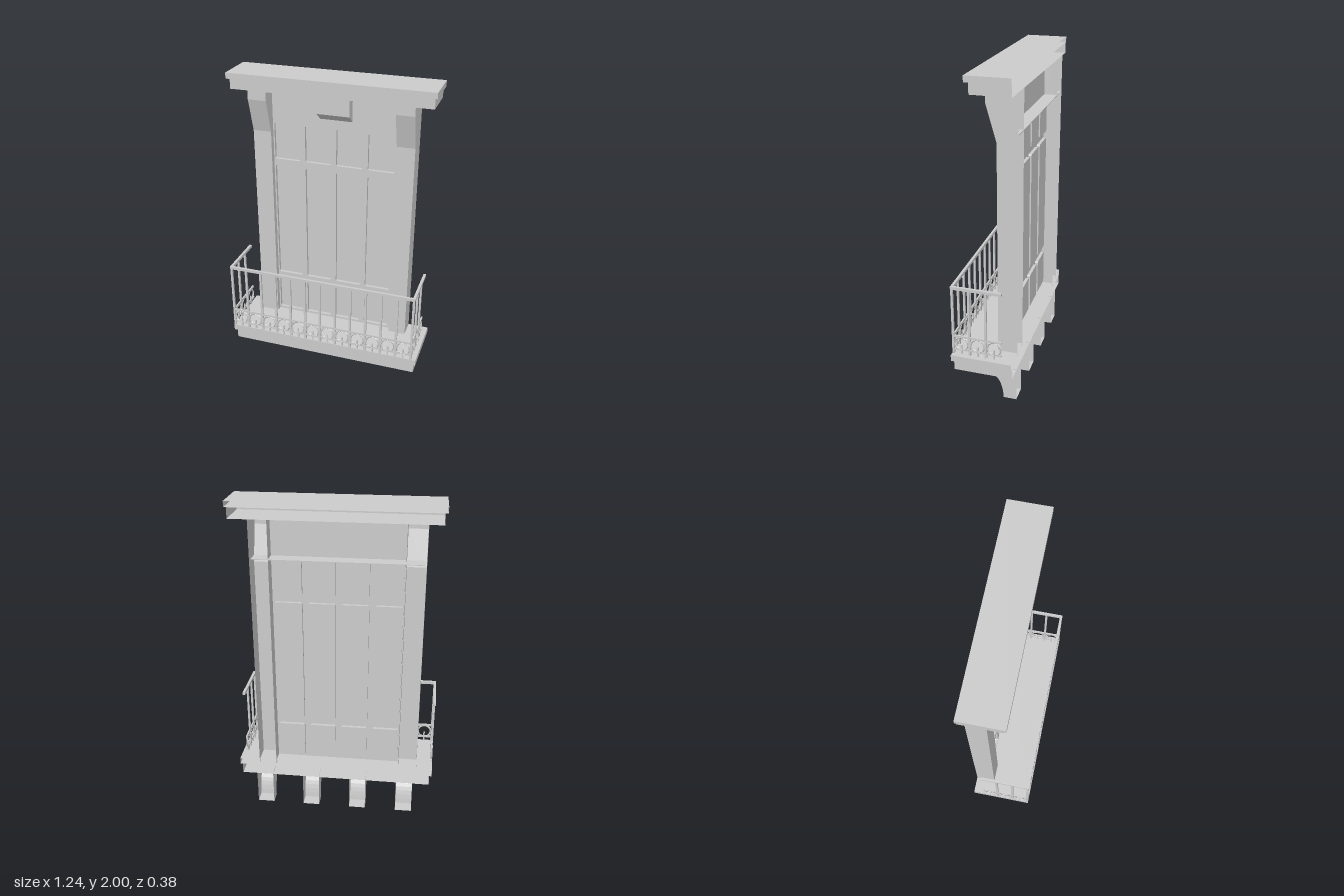
import * as THREE from 'three';

const BACK = -0.19;
const mat = new THREE.MeshStandardMaterial({ color: 0xcccccc, flatShading: true, side: THREE.DoubleSide });

// Remove the triangles lying in the plane z = zPlane, leaving a hollow shell
function openAt(geometry, zPlane) {
  const g = geometry.index ? geometry.toNonIndexed() : geometry;
  const p = g.attributes.position;
  const keep = [];
  for (let i = 0; i < p.count; i += 3) {
    const flat = [0, 1, 2].every(k => Math.abs(p.getZ(i + k) - zPlane) < 1e-4);
    if (flat) continue;
    for (let k = 0; k < 3; k++) keep.push(p.getX(i + k), p.getY(i + k), p.getZ(i + k));
  }
  const out = new THREE.BufferGeometry();
  out.setAttribute('position', new THREE.Float32BufferAttribute(keep, 3));
  out.computeVertexNormals();
  return out;
}

function add(parent, name, geometry) {
  const mesh = new THREE.Mesh(geometry, mat);
  mesh.name = name;
  parent.add(mesh);
  return mesh;
}

// Box given by its limits
function box(x0, x1, y0, y1, z0, z1) {
  return new THREE.BoxGeometry(x1 - x0, y1 - y0, z1 - z0)
    .translate((x0 + x1) / 2, (y0 + y1) / 2, (z0 + z1) / 2);
}

// Side profile drawn in (z, y), extruded from x0 to x1
function sideProfile(shape, x0, x1) {
  return new THREE.ExtrudeGeometry(shape, { depth: x1 - x0, bevelEnabled: false, curveSegments: 8 })
    .rotateY(-Math.PI / 2).translate(x1, 0, 0);
}

const polygon = pts => new THREE.Shape(pts.map(([x, y]) => new THREE.Vector2(x, y)));

function roundedRect(x0, x1, y0, y1, r) {
  const s = new THREE.Shape();
  s.absarc(x1 - r, y0 + r, r, -Math.PI / 2, 0);
  s.absarc(x1 - r, y1 - r, r, 0, Math.PI / 2);
  s.absarc(x0 + r, y1 - r, r, Math.PI / 2, Math.PI);
  s.absarc(x0 + r, y0 + r, r, Math.PI, Math.PI * 1.5);
  s.closePath();
  return s;
}

// Door sheet with recessed panes
function makeDoor() {
  const door = new THREE.Group();
  door.name = 'door';
  const z = -0.105, depth = 0.02;
  const sheet = polygon([[-0.405, 0.3], [0.38, 0.3], [0.38, 1.9], [-0.405, 1.9]]);
  for (const [y0, y1] of [[0.335, 0.565], [0.615, 1.39], [1.435, 1.665]]) {
    for (let i = 0; i < 4; i++) {
      const x0 = -0.397 + i * 0.199;
      const pane = roundedRect(x0, x0 + 0.166, y0, y1, 0.01);
      sheet.holes.push(pane);
      const tray = new THREE.ExtrudeGeometry(pane, { depth, bevelEnabled: false, curveSegments: 3 });
      add(door, 'pane', openAt(tray.translate(0, 0, z - depth), z));
    }
  }
  add(door, 'doorFrame', new THREE.ShapeGeometry(sheet, 3).translate(0, 0, z));
  return door;
}

// One run of railing along local x, with bays of 0.1
function railRun(length, bays, bayWidth, posts) {
  const run = new THREE.Group();
  for (const [name, y0, y1, w] of [['topRail', 0.752, 0.77, 0.008], ['middleRail', 0.432, 0.446, 0.005], ['lowerRail', 0.346, 0.358, 0.005]])
    add(run, name, box(-0.007, length, y0, y1, -w, w));
  for (let i = 0; i < posts; i++) {
    const x = i * bayWidth;
    add(run, 'baluster', box(x - 0.007, x + 0.007, 0.31, 0.755, -0.006, 0.006));
  }
  for (let i = 0; i < bays; i++) {
    const x = (i + 0.5) * bayWidth;
    add(run, 'ring', new THREE.TorusGeometry(0.042, 0.006, 4, 18).translate(x, 0.392, 0));
    add(run, 'ringPost', box(x - 0.005, x + 0.005, 0.31, 0.385, -0.004, 0.004));
  }
  return run;
}

export function createModel() {
  const model = new THREE.Group();
  model.name = 'balconyDoor';

  // Cornice and balcony floor, each in two open-backed steps
  add(model, 'corniceTop', openAt(box(-0.62, 0.62, 1.965, 2, BACK, 0.062), BACK));
  add(model, 'corniceStep', openAt(box(-0.605, 0.605, 1.9, 1.965, BACK, 0.04), BACK));
  add(model, 'floorSlab', openAt(box(-0.62, 0.62, 0.28, 0.32, BACK, 0.185), BACK));
  add(model, 'floorStep', openAt(box(-0.605, 0.605, 0.215, 0.28, BACK, 0.17), BACK));

  // Pilasters flaring out under the cornice
  const pilaster = polygon([[BACK, 0.3], [-0.07, 0.3], [-0.07, 1.62], [-0.01, 1.83], [-0.01, 1.9], [BACK, 1.9]]);
  for (const [x0, x1] of [[-0.52, -0.405], [0.38, 0.49]])
    add(model, 'pilaster', openAt(sideProfile(pilaster, x0, x1), BACK));

  model.add(makeDoor());

  // Lintel shelf behind the door head, and the keystone in front of it
  add(model, 'lintelShelf', box(-0.51, 0.48, 1.668, 1.672, BACK, -0.106));
  const keystone = polygon([[-0.105, 1.725], [-0.04, 1.775], [-0.04, 1.9], [-0.105, 1.9]]);
  add(model, 'keystone', openAt(sideProfile(keystone, -0.1, 0.1), -0.105));

  // Corbels with a concave underside
  const corbel = new THREE.Shape();
  corbel.moveTo(BACK, 0);
  corbel.lineTo(-0.11, 0);
  corbel.bezierCurveTo(-0.105, 0.09, -0.08, 0.155, -0.02, 0.165);
  corbel.lineTo(-0.02, 0.22);
  corbel.lineTo(BACK, 0.22);
  for (let i = 0; i < 4; i++) {
    const x = -0.5 + i * 0.302;
    add(model, 'corbel', openAt(sideProfile(corbel, x, x + 0.105), BACK));
  }

  // Railing round three sides
  const front = railRun(1.207, 12, 0.1, 13);
  front.name = 'frontRailing';
  front.position.set(-0.613, 0, 0.177);
  model.add(front);
  for (const [name, x] of [['rightRailing', -0.613], ['leftRailing', 0.587]]) {
    const side = railRun(0.3, 3, 0.101, 3);
    side.name = name;
    side.rotation.y = Math.PI / 2;
    side.position.set(x, 0, 0.177);
    model.add(side);
  }
  return model;
}
